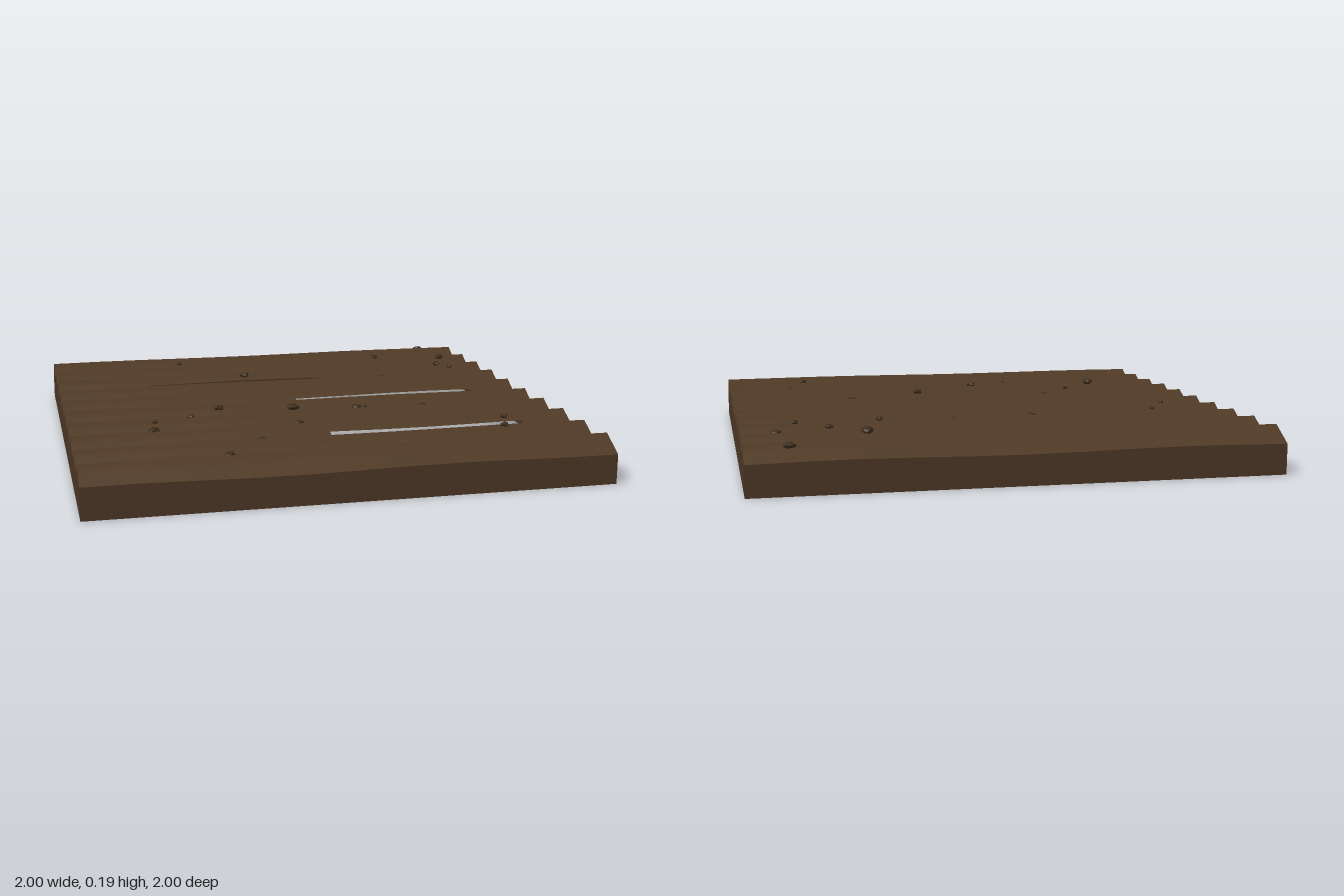
import * as THREE from 'three';

const soil = new THREE.MeshStandardMaterial({ name: 'soil brown', color: 0x4f3a25, side: THREE.DoubleSide });
const earth = new THREE.MeshStandardMaterial({ name: 'earth side brown', color: 0x4b3525, side: THREE.DoubleSide });
const clodBrown = new THREE.MeshStandardMaterial({ name: 'clod dark brown', color: 0x3d2c1b });

// furrow profile: crests at odd tenths of z, valleys at even tenths, gently uneven along x
function height(x, z) {
  const t = Math.abs(z) % 0.2;
  const crest = 1 - Math.abs(t - 0.1) / 0.1;
  return 0.119 + 0.057 * crest + 0.004 * Math.sin(x * 5.2 + z * 7 - 7.2) * (1 - 0.6 * crest);
}

// gaps in the soil sheet: [x0, x1, z0, z1]
const gaps = [
  [-0.6, 0.2, -0.45, -0.4],
  [-0.4, 0.2, -0.4, -0.35],
  [0, 0.8, -0.05, 0.05],
  [0, 0.8, 0.55, 0.65],
];
const inGap = (x, z) => gaps.some(([x0, x1, z0, z1]) => x > x0 && x < x1 && z > z0 && z < z1);

// ridged top sheet
function furrows() {
  const nx = 10, nz = 40, pos = [], all = [], kept = [];
  for (let j = 0; j <= nz; j++)
    for (let i = 0; i <= nx; i++) {
      const x = -1 + i * 0.2, z = -1 + j * 0.05;
      pos.push(x, height(x, z), z);
    }
  for (let j = 0; j < nz; j++)
    for (let i = 0; i < nx; i++) {
      const a = j * (nx + 1) + i, b = a + 1, c = a + nx + 1, d = c + 1;
      const quad = [a, c, b, b, c, d];
      all.push(...quad);
      if (!inGap(-0.9 + i * 0.2, -0.975 + j * 0.05)) kept.push(...quad);
    }
  const g = new THREE.BufferGeometry();
  g.setAttribute('position', new THREE.Float32BufferAttribute(pos, 3));
  g.setIndex(all);
  g.computeVertexNormals();
  g.setIndex(kept);
  return g;
}

// upright strip from the ground to the soil edge; at(t) gives [x, z] for t from 0 to 1
function wall(at, steps) {
  const pos = [], idx = [];
  for (let i = 0; i <= steps; i++) {
    const [x, z] = at(i / steps);
    pos.push(x, 0, z, x, height(x, z), z);
    if (i < steps) {
      const a = i * 2;
      idx.push(a, a + 2, a + 1, a + 1, a + 2, a + 3);
    }
  }
  const g = new THREE.BufferGeometry();
  g.setAttribute('position', new THREE.Float32BufferAttribute(pos, 3));
  g.setIndex(idx);
  g.computeVertexNormals();
  return g;
}

// small earth clods: x, z, radius
const clods = [
  [0.84, -0.93, 0.022], [-0.4, -0.86, 0.014], [0.54, -0.72, 0.027], [0.87, -0.68, 0.022],
  [0.84, -0.62, 0.01], [0.66, -0.53, 0.017], [0.79, -0.49, 0.019], [0.85, -0.47, 0.014],
  [-0.15, -0.47, 0.022], [0.5, -0.43, 0.017], [0.14, -0.36, 0.018], [0.44, -0.34, 0.017],
  [-0.71, -0.33, 0.012], [-0.05, -0.19, 0.023], [-0.02, -0.21, 0.014], [-0.82, -0.14, 0.011],
  [-0.37, 0.13, 0.022], [-0.06, 0.15, 0.025], [0.25, 0.16, 0.01], [0.48, 0.24, 0.026],
  [0.18, 0.28, 0.022], [-0.51, 0.29, 0.013], [-0.66, 0.32, 0.013], [-0.83, 0.44, 0.021],
  [-0.68, 0.48, 0.026], [-0.11, 0.48, 0.019], [-0.48, 0.62, 0.017], [-0.29, 0.64, 0.023],
  [0.73, 0.53, 0.018], [0.66, 0.71, 0.018], [0.62, 0.8, 0.021], [0.22, 0.79, 0.026],
  [-0.44, 0.78, 0.024],
];

export function createModel() {
  const group = new THREE.Group();
  group.name = 'ploughedField';
  const add = (name, geometry, material) => {
    const mesh = new THREE.Mesh(geometry, material);
    mesh.name = name;
    group.add(mesh);
    return mesh;
  };

  add('furrows', furrows(), soil);

  // four side walls, facing outward
  add('frontWall', wall(t => [-1 + 2 * t, 1], 10), earth);
  add('backWall', wall(t => [1 - 2 * t, -1], 10), earth);
  add('leftWall', wall(t => [1, 1 - 2 * t], 40), earth);
  add('rightWall', wall(t => [-1, -1 + 2 * t], 40), earth);

  // flattened, uneven clods resting on the ridges
  const lump = new THREE.IcosahedronGeometry(1, 1);
  const p = lump.attributes.position;
  for (let i = 0; i < p.count; i++) {
    const x = p.getX(i), y = p.getY(i), z = p.getZ(i);
    const s = 1 + 0.12 * Math.sin(4 * x + 2 * z) + 0.08 * Math.cos(5 * z - 3 * y);
    p.setXYZ(i, x * s, y * s, z * s);
  }
  lump.computeVertexNormals();
  clods.forEach(([x, z, r], i) => {
    const clod = add('clod' + (i + 1), lump, clodBrown);
    clod.position.set(x, height(x, z) + 0.45 * r, z);
    clod.scale.set(r, r * 0.5, r * 0.82);
    clod.rotation.y = i * 2.4;
  });

  return group;
}
